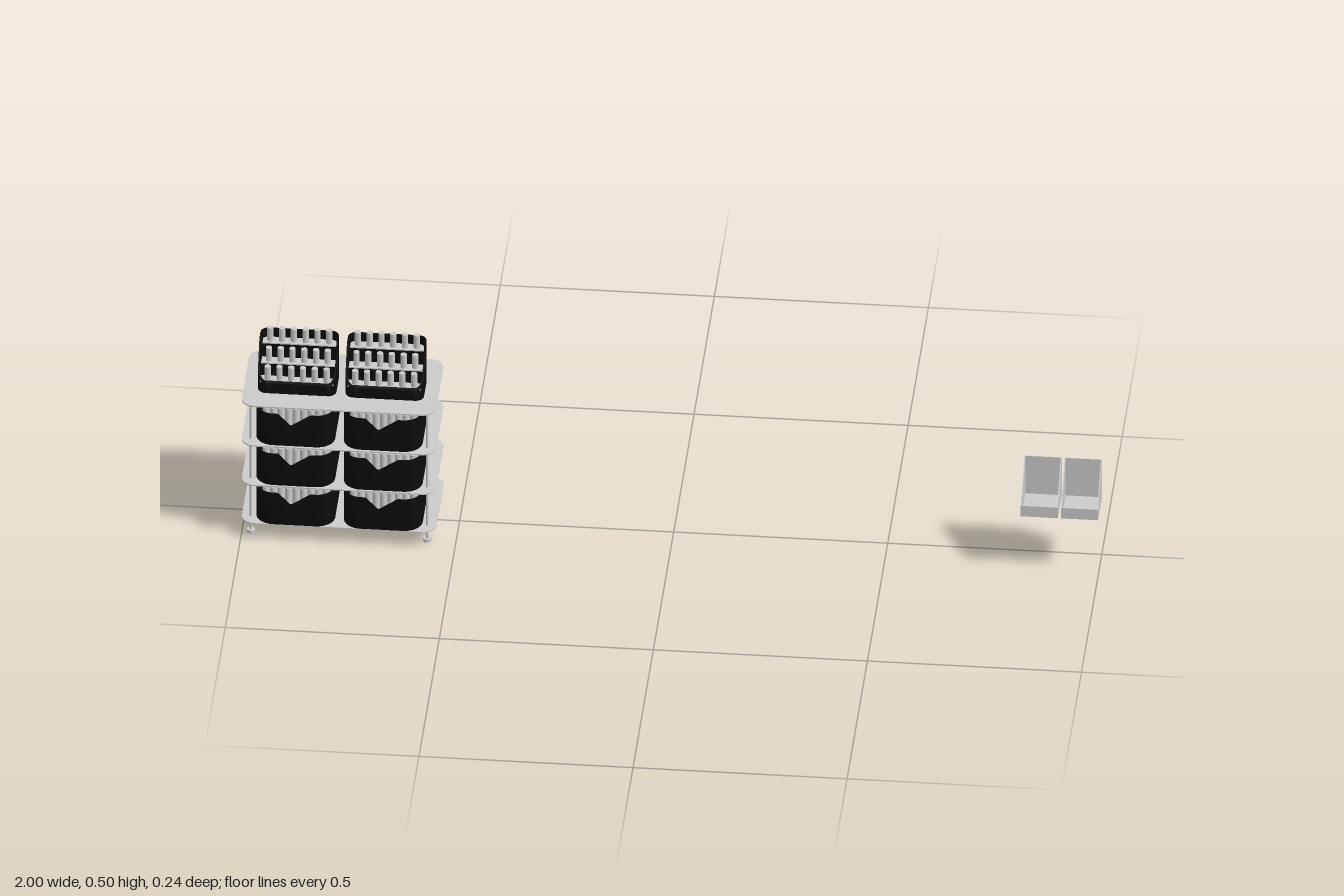
import * as THREE from 'three';
import { mergeGeometries, toCreasedNormals } from 'three/addons/utils/BufferGeometryUtils.js';

const grey = new THREE.MeshStandardMaterial({ color: 0xcccccc });
const black = new THREE.MeshStandardMaterial({ color: 0x0c0c0c });

// Closed outline of a rounded rectangle, with evenly divided straight edges
function outline(w, d, r, div = 1) {
  const pts = [], a = w / 2 - r, b = d / 2 - r;
  const corners = [[a, b], [-a, b], [-a, -b], [a, -b]];
  const on = (i, t) => new THREE.Vector2(
    corners[i][0] + r * Math.cos((i + t) * Math.PI / 2),
    corners[i][1] + r * Math.sin((i + t) * Math.PI / 2));
  for (let i = 0; i < 4; i++) {
    for (let k = 0; k <= 8; k++) pts.push(on(i, k / 8));
    const from = on(i, 1), to = on((i + 1) % 4, 0);
    for (let k = 1; k < div; k++) pts.push(from.clone().lerp(to, k / div));
  }
  return pts;
}

// Flat rounded plate with its underside at y = 0
function plate(w, d, r, h) {
  return new THREE.ExtrudeGeometry(new THREE.Shape(outline(w, d, r)), { depth: h, bevelEnabled: false })
    .rotateX(-Math.PI / 2);
}

// Open container: hollow wall whose rim follows rim(x, z), plus a floor
function container(w, d, r, t, rim) {
  const shape = new THREE.Shape(outline(w, d, r, 24));
  shape.holes.push(new THREE.Path(outline(w - 2 * t, d - 2 * t, r - t, 24).reverse()));
  const wall = new THREE.ExtrudeGeometry(shape, { depth: 1, bevelEnabled: false }).rotateX(-Math.PI / 2);
  const p = wall.attributes.position;
  for (let i = 0; i < p.count; i++) if (p.getY(i) > 0.5) p.setY(i, rim(p.getX(i), p.getZ(i)));
  const floor = plate(w - t, d - t, r - t / 2, t);
  return toCreasedNormals(mergeGeometries([wall, floor]), 0.6);
}

// Grid of upright tubes standing at y0
function tubes(xs, zs, radius, y0, height) {
  const list = [];
  for (const x of xs) for (const z of zs) {
    list.push(new THREE.CylinderGeometry(radius, radius, height, 12).translate(x, y0 + height / 2, z));
  }
  return mergeGeometries(list);
}
const spread = (n, step) => Array.from({ length: n }, (_, i) => (i - (n - 1) / 2) * step);

function add(parent, name, geometry, material, x = 0, y = 0, z = 0) {
  const mesh = new THREE.Mesh(geometry, material);
  mesh.name = name;
  mesh.position.set(x, y, z);
  parent.add(mesh);
  return mesh;
}

function createRack() {
  const rack = new THREE.Group();
  rack.name = 'rack';
  const cx = -0.773, columns = [-0.875, -0.6705];

  // Shelves
  const shelf = toCreasedNormals(plate(0.454, 0.237, 0.032, 0.003), 0.6);
  for (const y of [0.043, 0.149, 0.259, 0.369]) add(rack, 'shelf', shelf, grey, cx, y, 0.003);

  // Posts and feet
  const post = new THREE.CylinderGeometry(0.003, 0.003, 0.366, 16);
  const foot = new THREE.CylinderGeometry(0.0095, 0.0095, 0.008, 20);
  for (const x of [-0.979, -0.567]) for (const z of [0.09, -0.083]) {
    add(rack, 'post', post, grey, x, 0.186, z);
    add(rack, 'foot', foot, grey, x, 0.006, z);
  }
  
  // Drawer bins with a round finger notch in the front, filled with tubes
  const h = 0.086, notch = 0.034;
  const bin = container(0.184, 0.243, 0.042, 0.003, (x, z) =>
    z > 0.1 && Math.abs(x) < notch ? h - Math.sqrt(notch * notch - x * x) * 0.9 : h);
  const contents = tubes(spread(9, 0.0175), spread(9, 0.0205), 0.0075, 0.003, 0.077);
  for (const x of columns) for (const y of [0.046, 0.155, 0.266]) {
    add(rack, 'bin', bin, black, x, y, 0);
    add(rack, 'binTubes', contents, grey, x, y, 0);
  }

  // Sloped holders with three tiers of tubes
  const holderZ = 0.0145;
  const holder = container(0.183, 0.099, 0.02, 0.003, (x, z) =>
    Math.min(0.118, Math.max(0.028, 0.028 + (0.0495 - z) * 1.765)));
  const tiers = [[0.033, 0.03], [0.002, 0.062], [-0.033, 0.095]];
  for (const x of columns) {
    const group = new THREE.Group();
    group.name = 'tubeHolder';
    group.position.set(x, 0.372, holderZ);
    add(group, 'holderShell', holder, black);
    add(group, 'holderBase', new THREE.BoxGeometry(0.14, 0.004, 0.075), black, 0, -0.001, 0);
    for (const [z, y] of tiers) {
      add(group, 'tier', new THREE.BoxGeometry(0.172, 0.003, 0.026), grey, 0, y - 0.0015, z);
      add(group, 'tierFront', new THREE.BoxGeometry(0.168, 0.026, 0.002), black, 0, y - 0.016, z + 0.011);
      add(group, 'tierTubes', tubes(spread(6, 0.0275), [z], 0.0075, y - 0.02, 0.055), grey);
    }
    // Rear slot trim
    add(group, 'rearClip', new THREE.BoxGeometry(0.012, 0.003, 0.004), grey, 0, 0.075, -0.048);
    rack.add(group);
  }
  return rack;
}

// Open scoop with sloped side walls
function createScoop(x) {
  const scoop = new THREE.Group();
  scoop.name = 'scoop';
  const w = 0.087, t = 0.002, zf = 0.09, zb = -0.007, y0 = 0.156;
  const side = new THREE.Shape([[-zf, 0], [-zb, 0], [-zb, 0.106], [-0.002, 0.106], [-zf, 0.029]]
    .map(([a, b]) => new THREE.Vector2(a, b)));
  const wall = new THREE.ExtrudeGeometry(side, { depth: t, bevelEnabled: false })
    .rotateY(Math.PI / 2).translate(-t / 2, 0, 0);
  for (const s of [-1, 1]) add(scoop, 'sideWall', wall, grey, s * (w - t) / 2, y0, 0);
  add(scoop, 'floor', new THREE.BoxGeometry(w - 2 * t, t, zf - zb), grey, 0, y0 + t / 2, (zf + zb) / 2);
  add(scoop, 'frontLip', new THREE.BoxGeometry(w - 2 * t, 0.029, t), grey, 0, y0 + 0.0145, zf - t / 2);
  add(scoop, 'backWall', new THREE.BoxGeometry(w - 2 * t, 0.106, t), grey, 0, y0 + 0.053, zb + t / 2);
  scoop.position.x = x;
  return scoop;
}

export function createModel() {
  const model = new THREE.Group();
  model.name = 'storageRackWithScoops';
  model.add(createRack(), createScoop(0.8625), createScoop(0.9565));
  return model;
}
